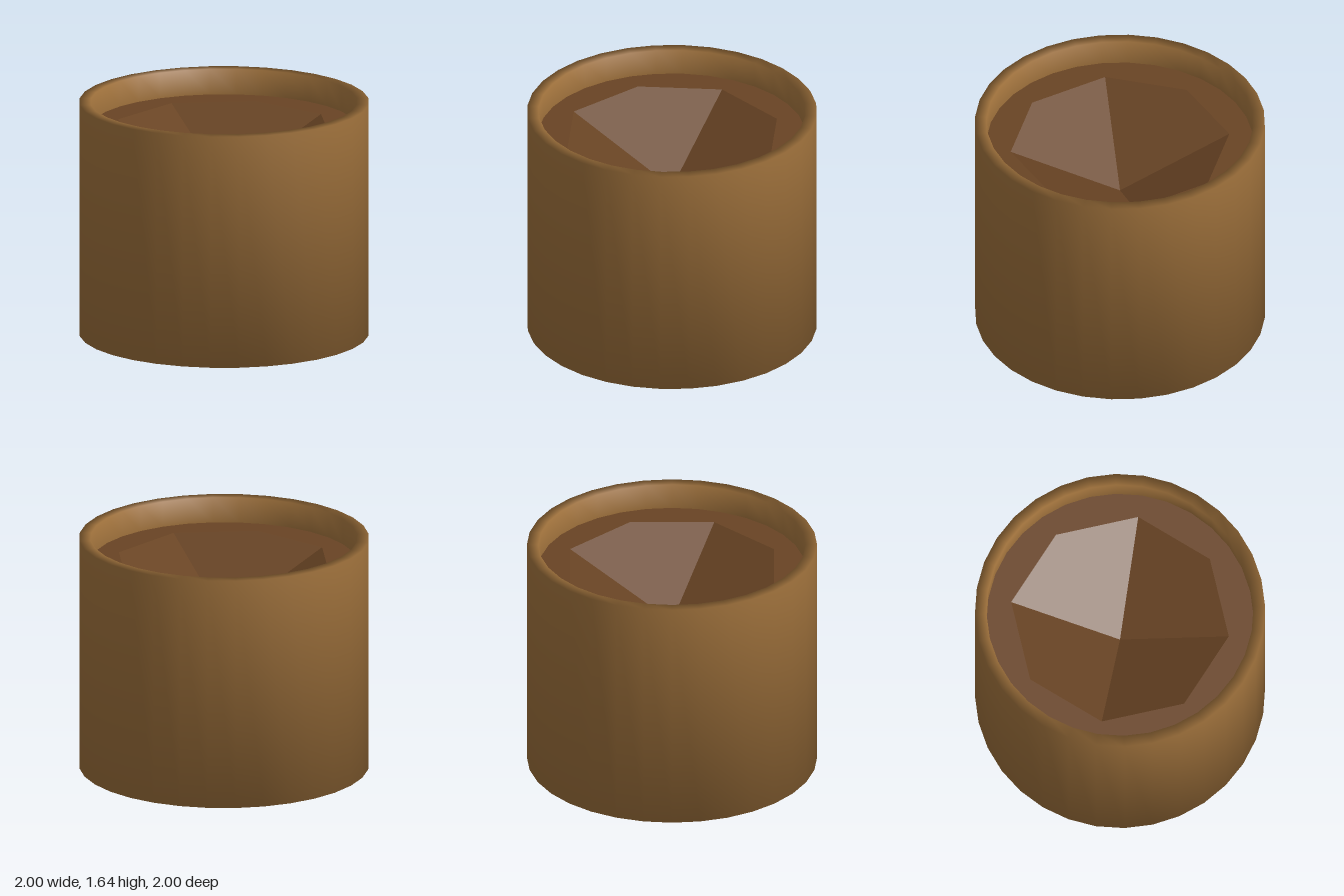
import * as THREE from 'three';

const HEIGHT = 1.64, SOIL_Y = 1.46, PIT_Y = 1.05;
const INNER_R = 0.92, PIT_R = 0.76, SIDES = 32;

const polygon = (radius, sides) => Array.from({ length: sides }, (_, i) => {
  const a = (i / sides) * Math.PI * 2;
  return new THREE.Vector2(Math.cos(a) * radius, Math.sin(a) * radius);
});

// Pit: four folded quads running down to one point, each shaded with a single normal
function pitGeometry() {
  const positions = [], normals = [];
  const rim = (a) => new THREE.Vector3(Math.cos(a) * PIT_R, SOIL_Y, Math.sin(a) * PIT_R);
  const apex = new THREE.Vector3(0, PIT_Y, 0);
  for (let q = 0; q < 4; q++) {
    const a = q * Math.PI / 2;
    const start = rim(a), middle = rim(a + Math.PI / 4), end = rim(a + Math.PI / 2);
    const normal = new THREE.Vector3()
      .crossVectors(middle.clone().sub(apex), start.clone().sub(end)).normalize();
    for (const p of [apex, end, middle, apex, middle, start]) {
      positions.push(...p.toArray());
      normals.push(...normal.toArray());
    }
  }
  const geometry = new THREE.BufferGeometry();
  geometry.setAttribute('position', new THREE.Float32BufferAttribute(positions, 3));
  geometry.setAttribute('normal', new THREE.Float32BufferAttribute(normals, 3));
  return geometry;
}

export function createModel() {
  const model = new THREE.Group();
  model.name = 'plantPot';
  const clay = new THREE.MeshStandardMaterial({ color: 0xa0723c, side: THREE.DoubleSide });
  const earth = new THREE.MeshStandardMaterial({ color: 0x694424, side: THREE.DoubleSide });

  const add = (name, geometry, material) => {
    const mesh = new THREE.Mesh(geometry, material);
    mesh.name = name;
    model.add(mesh);
    return mesh;
  };

  // Pot: base, outer wall, rim and inner lip, smoothly shaded over its corners
  const profile = [[0, 0], [1, 0], [1, HEIGHT], [INNER_R, HEIGHT], [INNER_R, SOIL_Y]]
    .map(([r, y]) => new THREE.Vector2(r, y));
  add('pot', new THREE.LatheGeometry(profile, SIDES), clay);

  // Soil: flat ring around an eight-sided planting pit
  const ring = new THREE.Shape(polygon(INNER_R, SIDES));
  ring.holes.push(new THREE.Path(polygon(PIT_R, 8)));
  add('soil', new THREE.ShapeGeometry(ring).rotateX(-Math.PI / 2), earth).position.y = SOIL_Y;
  add('plantingPit', pitGeometry(), earth);

  return model;
}
